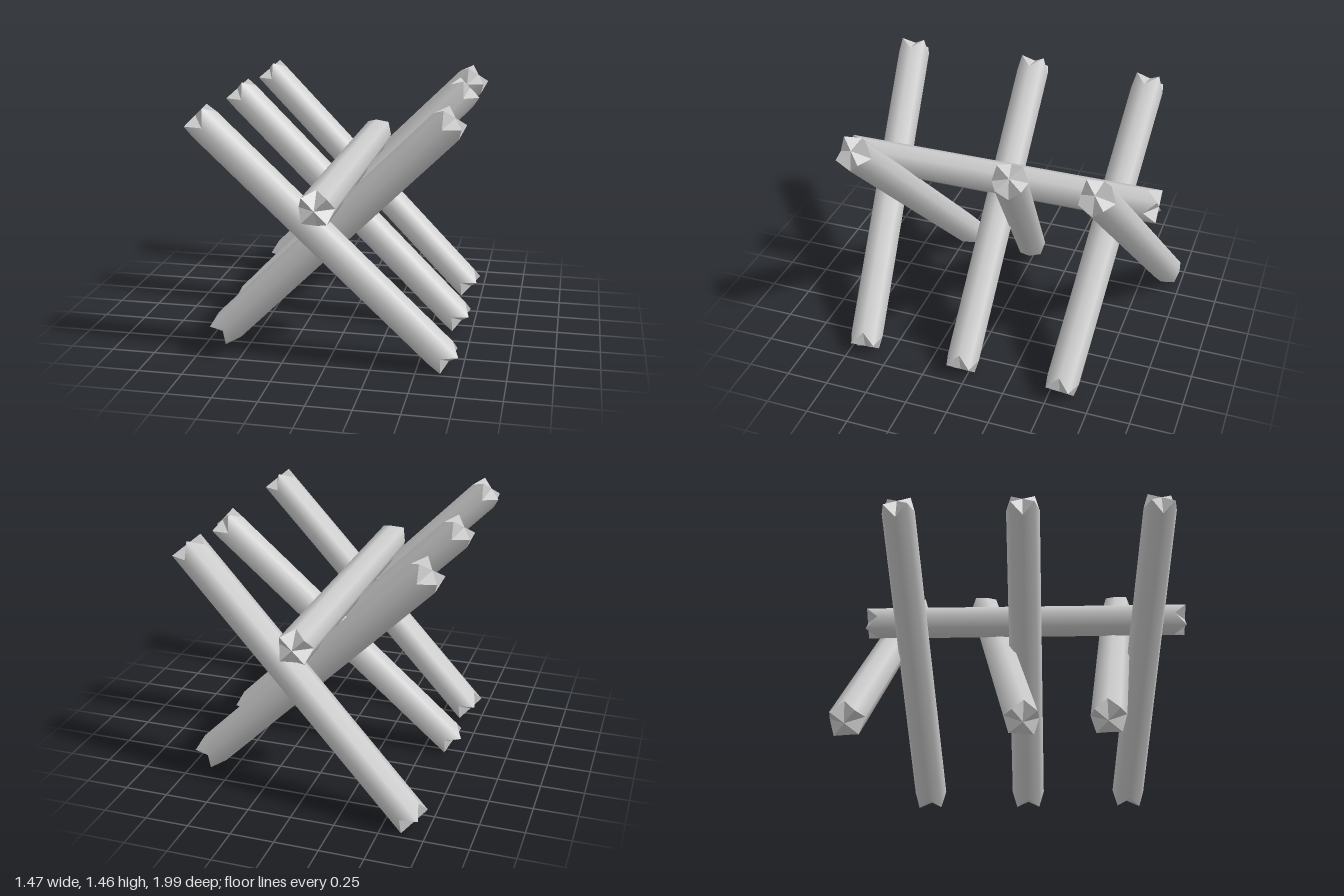
import * as THREE from 'three';
import { mergeGeometries } from 'three/addons/utils/BufferGeometryUtils.js';

const R = 0.097, HALF = 0.963, NOTCH = 0.07;

// Pull every second rim vertex (those on the local axes) inward to notch the ends
function notch(geometry) {
  const p = geometry.attributes.position;
  for (let i = 0; i < p.count; i++) {
    const x = Math.abs(p.getX(i)), z = Math.abs(p.getZ(i));
    if (Math.min(x, z) < 1e-4 && Math.max(x, z) > 1e-4) {
      p.setY(i, p.getY(i) - Math.sign(p.getY(i)) * NOTCH);
    }
  }
  return geometry;
}

// Eight-sided log: smooth sides, faceted star-shaped ends
function logGeometry() {
  const sides = notch(new THREE.CylinderGeometry(R, R, HALF * 2, 8, 1, true)).toNonIndexed();
  const caps = [-1, 1].map((s) => {
    const cap = new THREE.CircleGeometry(R, 8).rotateX(-s * Math.PI / 2).translate(0, s * HALF, 0).toNonIndexed();
    notch(cap).computeVertexNormals();
    return cap;
  });
  return mergeGeometries([sides, ...caps]);
}

export function createModel() {
  const group = new THREE.Group();
  const geometry = logGeometry();
  const material = new THREE.MeshStandardMaterial({ color: 0xcccccc });
  const addLog = (name) => {
    const mesh = new THREE.Mesh(geometry, material);
    mesh.name = name;
    group.add(mesh);
    return mesh;
  };

  // Ridge log lying in the crossings
  const ridge = addLog('ridgeLog');
  ridge.rotation.x = Math.PI / 2;
  ridge.position.set(0, 0.97, 0.037);

  // Crossed logs: side the top leans to, z of the top end, z of the bottom end
  const span = HALF * Math.SQRT2;
  [
    ['frontRightLog', -1, 0.825, 0.65],
    ['frontLeftLog', 1, 0.635, 0.48],
    ['middleRightLog', -1, 0.035, 0.035],
    ['middleLeftLog', 1, -0.255, 0.035],
    ['backRightLog', -1, -0.685, -0.57],
    ['backLeftLog', 1, -0.715, -0.9],
  ].forEach(([name, side, zTop, zBottom]) => {
    const log = addLog(name);
    log.rotation.set(0, -side * Math.asin((zTop - zBottom) / span), -side * Math.PI / 4, 'YZX');
    log.position.set(0, 0.73, (zTop + zBottom) / 2);
  });

  return group;
}
